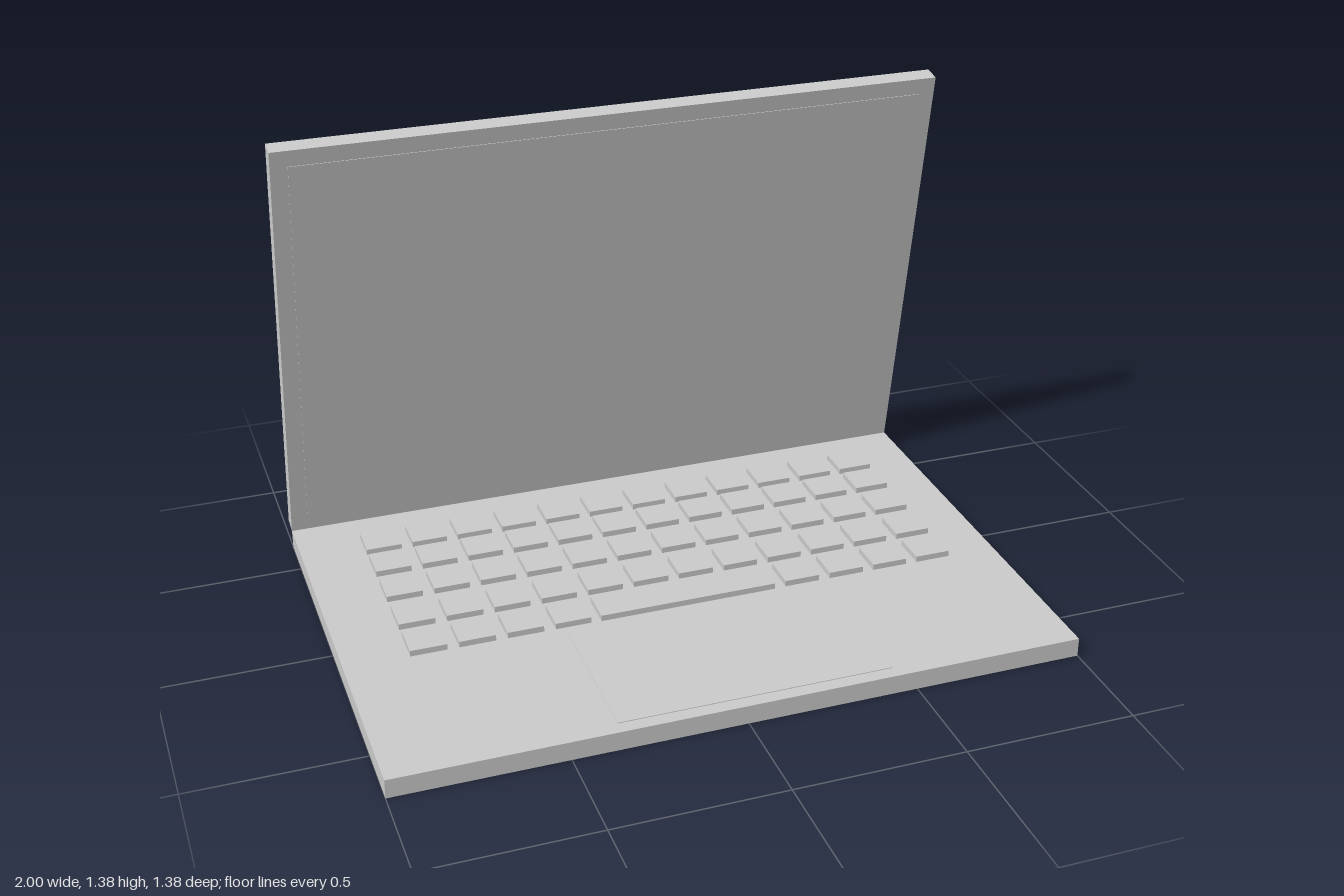
import * as THREE from 'three';

export function createModel() {
  const model = new THREE.Group();
  model.name = 'laptop';
  const material = new THREE.MeshStandardMaterial({ color: 0xcccccc, flatShading: true });

  // Box given by its minimum and maximum corners
  const addBox = (parent, name, [x0, y0, z0], [x1, y1, z1]) => {
    const mesh = new THREE.Mesh(new THREE.BoxGeometry(x1 - x0, y1 - y0, z1 - z0), material);
    mesh.position.set((x0 + x1) / 2, (y0 + y1) / 2, (z0 + z1) / 2);
    mesh.name = name;
    parent.add(mesh);
  };

  // Base with a barely raised trackpad
  const deckY = 0.057;
  addBox(model, 'base', [-1, 0, -0.638], [1, deckY, 0.692]);
  addBox(model, 'trackpad', [-0.36, 0.04, 0.2], [0.44, deckY + 0.002, 0.652]);

  // Keyboard: five rows of twelve, the front row broken by the space bar
  const keyboard = new THREE.Group();
  keyboard.name = 'keyboard';
  model.add(keyboard);
  const keySize = 0.107, keyStep = 0.1412, firstX = -0.81, keyTop = 0.075;
  const rowBacks = [-0.527, -0.394, -0.246, -0.09, 0.053];
  rowBacks.forEach((z, row) => {
    for (let col = 0; col < 12; col++) {
      if (row === 4 && col >= 4 && col <= 7) continue;
      const x = firstX + col * keyStep;
      addBox(keyboard, 'key', [x, deckY, z], [x + keySize, keyTop, z + keySize]);
    }
  });
  addBox(keyboard, 'spaceBar', [-0.25, deckY, 0.053], [0.285, keyTop, 0.162]);

  // Lid hinged on the rear top edge of the base, tilted forward
  const lid = new THREE.Group();
  lid.name = 'lid';
  lid.position.set(0, deckY, -0.638);
  lid.rotation.x = THREE.MathUtils.degToRad(9.75);
  addBox(lid, 'lidShell', [-1, 0, -0.053], [1, 1.333, 0]);
  addBox(lid, 'screen', [-0.95, 0.05, -0.02], [0.95, 1.283, 0.002]);
  model.add(lid);

  return model;
}
